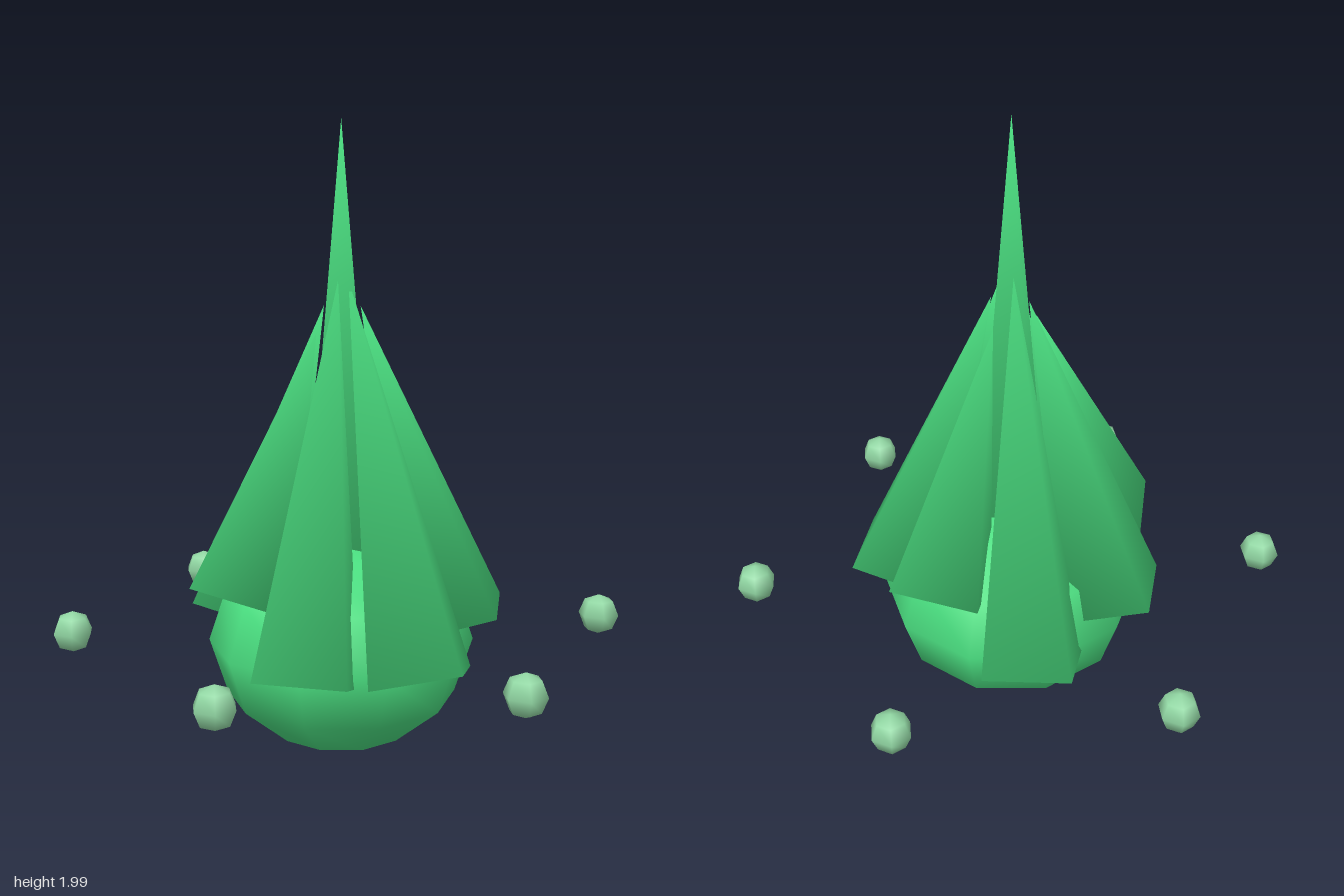
import * as THREE from 'three';

const green = new THREE.MeshStandardMaterial({ color: 0x4ade80 });
green.name = 'brightGreen';
const pale = new THREE.MeshStandardMaterial({ color: 0x92d8a4 });
pale.name = 'paleGreen';

// Four-sided cone shaded fully smooth: normals run from straight up at the tip,
// through outward and down at the corners, to straight down under the base
function softCone(radius, height) {
  const geo = new THREE.ConeGeometry(radius, height, 4);
  const pos = geo.attributes.position;
  const n = new THREE.Vector3();
  for (let i = 0; i < pos.count; i++) {
    n.set(pos.getX(i) / radius, 0, pos.getZ(i) / radius);
    const onAxis = n.length() < 0.01;
    if (onAxis) n.y = Math.sign(pos.getY(i));
    else n.y = -0.6;
    n.normalize();
    geo.attributes.normal.setXYZ(i, n.x, n.y, n.z);
  }
  return geo;
}

function addMesh(parent, name, geo, material, x, y, z) {
  const mesh = new THREE.Mesh(geo, material);
  mesh.name = name;
  mesh.position.set(x, y, z);
  parent.add(mesh);
  return mesh;
}

export function createModel() {
  const model = new THREE.Group();
  model.name = 'leafyBulb';

  // Squat bulb at the bottom
  const bulb = new THREE.SphereGeometry(0.426, 10, 6).rotateY(Math.PI / 2).scale(1, 0.81, 1);
  addMesh(model, 'bulb', bulb, green, 0, 0.348, 0);

  // Central spike, reaching down into the bulb
  addMesh(model, 'spike', softCone(0.155, 1.5), green, 0, 1.245, 0);

  // Seven leaning leaves in three repeating lengths
  const up = new THREE.Vector3(0, 1, 0);
  const tilt = 0.3;
  for (let i = 0; i < 7; i++) {
    const step = i % 3;
    const a = (i / 7) * Math.PI * 2;
    const cx = Math.cos(a), cz = -Math.sin(a);
    const r = 0.22 - 0.005 * step;
    const leaf = addMesh(model, 'leaf' + (i + 1), softCone(0.2, 1.235 - 0.19 * step),
      green, cx * r, 0.915 + 0.01 * step, cz * r);
    const axis = new THREE.Vector3(-cx * Math.sin(tilt), Math.cos(tilt), -cz * Math.sin(tilt));
    leaf.quaternion.setFromUnitVectors(up, axis);
  }

  // Ring of six floating beads
  const bead = new THREE.SphereGeometry(0.066, 6, 4).rotateY(Math.PI / 2);
  for (let i = 0; i < 6; i++) {
    const a = (i / 6) * Math.PI * 2;
    addMesh(model, 'bead' + (i + 1), bead, pale, 0.854 * Math.cos(a), 0.403, 0.854 * Math.sin(a));
  }
  return model;
}
